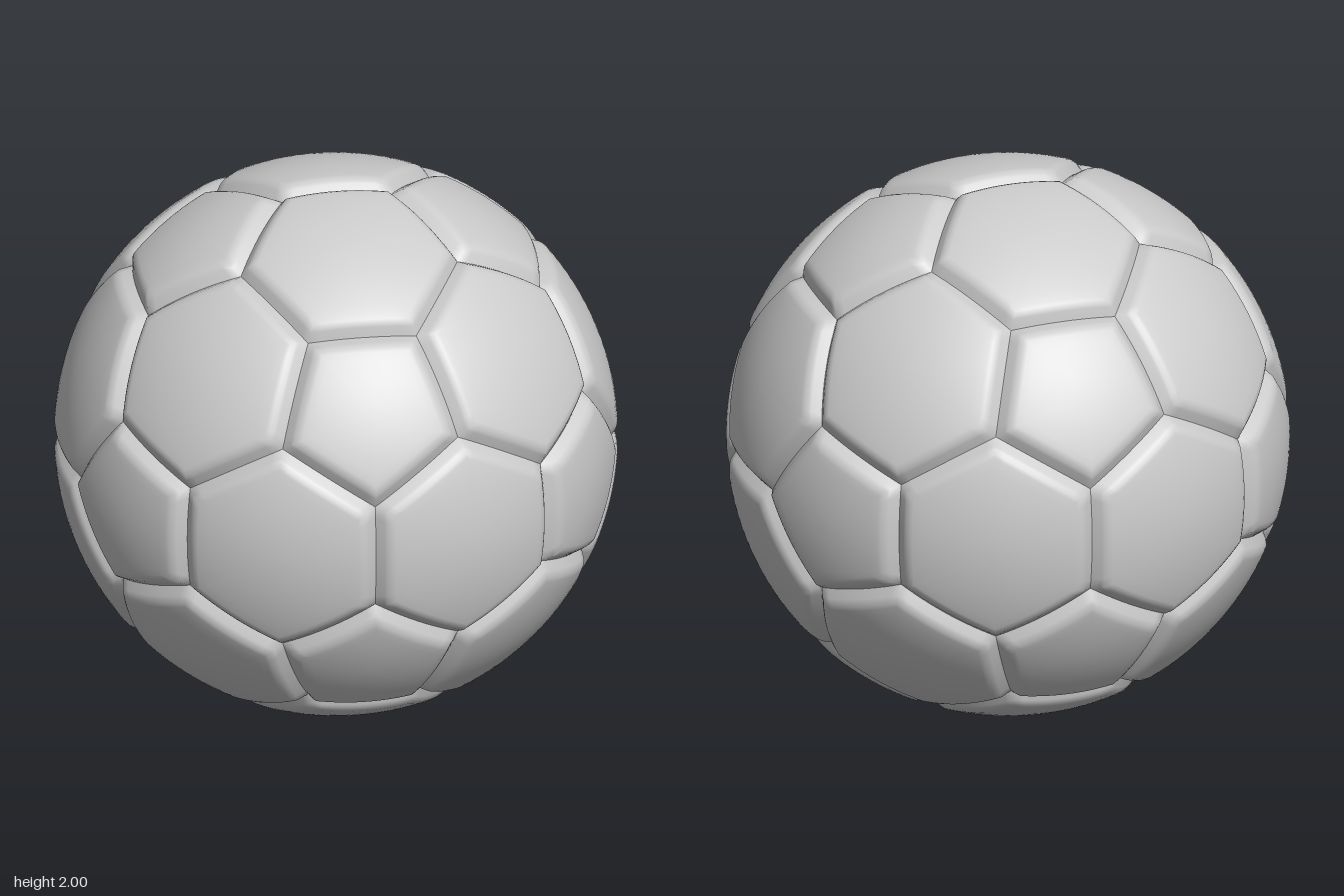
import * as THREE from 'three';

const RADIUS = 1.003;
const SIDE_STEPS = 10; // subdivisions along each panel side
const INNER_RINGS = 8; // rings across the domed middle of a panel
// Seam bevel: [distance from the seam, radius]
const BEVEL = [[0.07, 1], [0.055, 0.998], [0.04, 0.992], [0.03, 0.985], [0.01, 0.968], [0, 0.96]];

// The 12 corners of an icosahedron; panels are the faces of its truncation
function icosahedronCorners() {
  const phi = (1 + Math.sqrt(5)) / 2;
  const corners = [];
  for (const a of [-1, 1]) {
    for (const b of [-phi, phi]) {
      corners.push(new THREE.Vector3(0, a, b), new THREE.Vector3(a, b, 0), new THREE.Vector3(b, 0, a));
    }
  }
  return corners;
}

// Order corners counter-clockwise as seen from outside the ball
function sortAround(points, centre) {
  const axis = centre.clone().normalize();
  const u = points[0].clone().sub(centre).normalize();
  const w = axis.cross(u);
  const angle = (p) => {
    const d = p.clone().sub(centre);
    return Math.atan2(d.dot(w), d.dot(u));
  };
  return points.map((p) => [angle(p), p]).sort((a, b) => a[0] - b[0]).map((e) => e[1]);
}

// A domed panel: concentric polygon rings pushed onto the sphere, dipping at the seam
function panelGeometry(rawCorners) {
  const points = rawCorners.map((p) => p.clone().normalize());
  const centre = points.reduce((s, p) => s.add(p), new THREE.Vector3()).divideScalar(points.length);
  const corners = sortAround(points, centre);
  const inradius = corners[0].clone().lerp(corners[1], 0.5).distanceTo(centre);

  const rings = BEVEL.map(([d, r]) => [1 - d / inradius, r]);
  const flatEnd = rings[0][0];
  for (let i = INNER_RINGS - 1; i > 0; i--) rings.unshift([flatEnd * i / INNER_RINGS, 1]);

  const count = corners.length * SIDE_STEPS;
  const positions = centre.clone().setLength(RADIUS).toArray();
  const index = [];
  rings.forEach(([t, r], k) => {
    for (let j = 0; j < count; j++) {
      const side = Math.floor(j / SIDE_STEPS);
      const p = corners[side].clone()
        .lerp(corners[(side + 1) % corners.length], (j % SIDE_STEPS) / SIDE_STEPS);
      p.sub(centre).multiplyScalar(t).add(centre).setLength(RADIUS * r);
      positions.push(p.x, p.y, p.z);

      const next = (j + 1) % count;
      const a = 1 + k * count + j, b = 1 + k * count + next;
      if (k === 0) index.push(0, a, b);
      else index.push(a - count, a, b, a - count, b, b - count);
    }
  });

  const geometry = new THREE.BufferGeometry();
  geometry.setAttribute('position', new THREE.Float32BufferAttribute(positions, 3));
  geometry.setIndex(index);
  geometry.computeVertexNormals();
  return geometry;
}

export function createModel() {
  const ball = new THREE.Group();
  ball.name = 'ball';
  const material = new THREE.MeshStandardMaterial({ color: 0xcccccc });
  const addPanel = (name, corners) => {
    const mesh = new THREE.Mesh(panelGeometry(corners), material);
    mesh.name = name;
    mesh.position.y = 1;
    ball.add(mesh);
  };

  const V = icosahedronCorners();
  const adjacent = (a, b) => a !== b && V[a].distanceTo(V[b]) < 2.1;
  const third = (a, b) => V[a].clone().lerp(V[b], 1 / 3);
  const ids = V.map((_, i) => i);

  // Pentagon panels, one around each icosahedron corner
  for (const a of ids) {
    addPanel('pentagonPanel', ids.filter((b) => adjacent(a, b)).map((b) => third(a, b)));
  }

  // Hexagon panels, one in each icosahedron face
  for (const a of ids) {
    for (const b of ids) {
      for (const c of ids) {
        if (a < b && b < c && adjacent(a, b) && adjacent(b, c) && adjacent(a, c)) {
          addPanel('hexagonPanel',
            [third(a, b), third(b, a), third(b, c), third(c, b), third(c, a), third(a, c)]);
        }
      }
    }
  }
  return ball;
}
